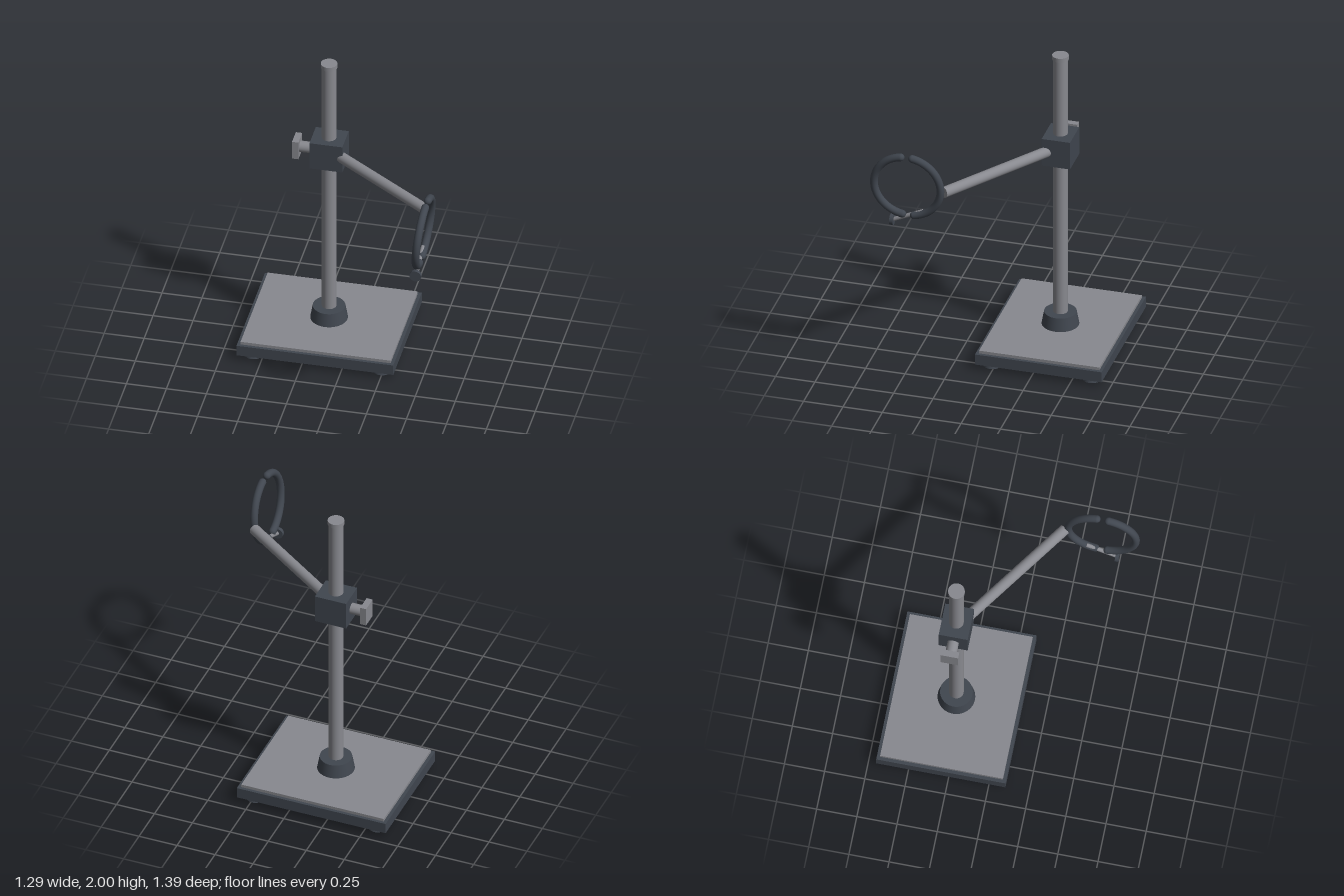
import * as THREE from 'three';

export function createModel() {
  const model = new THREE.Group();
  model.name = 'ringStand';
  const dark = new THREE.MeshStandardMaterial({ color: 0x40464f });
  dark.name = 'dark enamel';
  const metal = new THREE.MeshStandardMaterial({ color: 0x88898f });
  metal.name = 'grey metal';

  const PX = -0.16, PZ = -0.297, CLAMP_Y = 1.36; // post axis and clamp height

  function add(name, geometry, material, x, y, z, parent = model) {
    const mesh = new THREE.Mesh(geometry, material);
    mesh.name = name;
    mesh.position.set(x, y, z);
    parent.add(mesh);
    return mesh;
  }
  const box = (w, h, d) => new THREE.BoxGeometry(w, h, d);
  const cyl = (rTop, rBottom, h) => new THREE.CylinderGeometry(rTop, rBottom, h, 40);

  // round bar between two points
  function rod(name, from, to, radius, material) {
    const a = new THREE.Vector3(...from), b = new THREE.Vector3(...to);
    const dir = b.clone().sub(a);
    const mid = a.clone().add(b).multiplyScalar(0.5);
    const mesh = add(name, cyl(radius, radius, dir.length()), material, mid.x, mid.y, mid.z);
    mesh.quaternion.setFromUnitVectors(new THREE.Vector3(0, 1, 0), dir.normalize());
    return mesh;
  }

  // base slab, inset plate and feet
  add('base', box(0.98, 0.07, 0.804), dark, PX, 0.07, PZ);
  add('basePlate', box(0.938, 0.02, 0.764), metal, PX, 0.114, PZ);
  for (const sx of [-1, 1]) {
    for (const sz of [-1, 1]) {
      add('foot', cyl(0.048, 0.057, 0.036), dark, PX + sx * 0.402, 0.018, PZ + sz * 0.316);
    }
  }

  // post with collar and end cap
  add('collar', cyl(0.1, 0.116, 0.09), dark, PX, 0.165, PZ);
  add('post', cyl(0.045, 0.045, 1.86), metal, PX, 1.05, PZ);
  add('postCap', cyl(0.051, 0.051, 0.028), metal, PX, 1.986, PZ);

  // clamp block and its tightening screw
  add('clamp', box(0.206, 0.186, 0.18), dark, PX, CLAMP_Y, PZ);
  rod('clampScrew', [-0.35, CLAMP_Y, PZ], [PX - 0.08, CLAMP_Y, PZ], 0.035, metal);
  add('clampKnob', box(0.04, 0.123, 0.108), metal, -0.36, CLAMP_Y, PZ);

  // slanting arm
  rod('arm', [PX, CLAMP_Y, PZ], [0.59, CLAMP_Y, 0.228], 0.034, metal);

  // split ring: two half arcs with rounded ends, leaning slightly
  const ring = new THREE.Group();
  ring.name = 'ring';
  ring.position.set(0.598, 1.372, 0.458);
  ring.rotation.z = -0.09;
  model.add(ring);
  const R = 0.211, TUBE = 0.024, GAP = 0.175;
  const sweep = Math.PI - 2 * GAP;
  for (const side of [0, 1]) {
    const half = new THREE.Group();
    half.name = 'ringHalf';
    half.rotation.y = Math.PI / 2 + side * Math.PI;
    ring.add(half);
    const arc = add('ringArc', new THREE.TorusGeometry(R, TUBE, 20, 48, sweep), dark, 0, 0, 0, half);
    arc.rotation.z = -sweep / 2;
    for (const s of [-1, 1]) {
      add('ringTip', new THREE.SphereGeometry(TUBE, 20, 14), dark,
        R * Math.cos(sweep / 2), s * R * Math.sin(sweep / 2), 0, half);
    }
  }

  // ring screw with a round knob under the ring
  rod('ringScrew', [0.575, 1.2, 0.365], [0.572, 1.113, 0.555], 0.013, metal);
  add('ringKnob', cyl(0.036, 0.036, 0.022), dark, 0.571, 1.113, 0.56).rotation.x = Math.PI / 2;

  return model;
}
